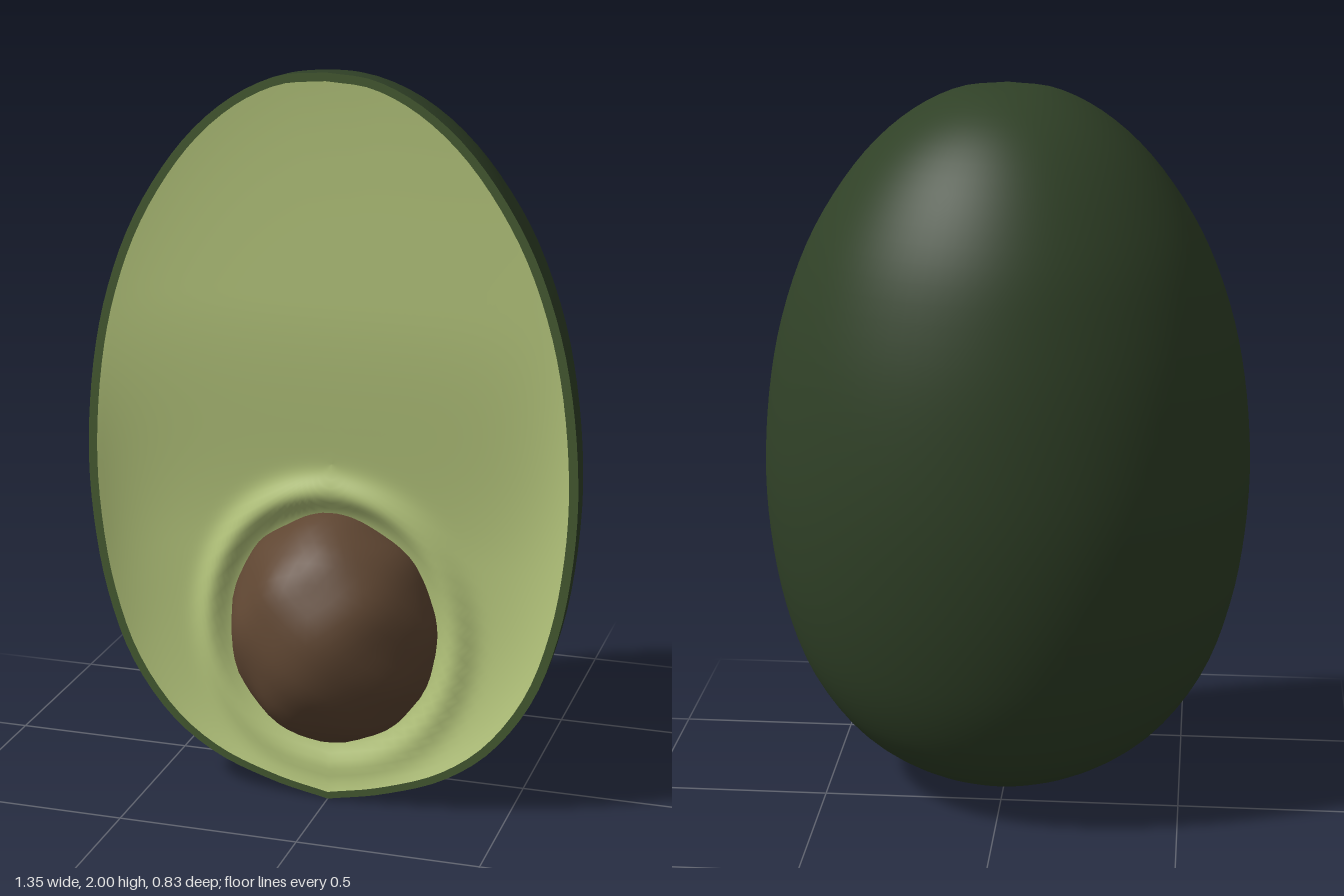
import * as THREE from 'three';
import { mergeVertices } from 'three/addons/utils/BufferGeometryUtils.js';

const CUT_Z = 0.22; // plane of the cut face
const MID_Y = 0.95;

// Half profile from top to bottom: half width, height, depth behind the cut
const profile = new THREE.CatmullRomCurve3([
  [0, 2, 0], [0.13, 1.985, 0.14], [0.27, 1.915, 0.29], [0.4, 1.795, 0.41],
  [0.53, 1.6, 0.52], [0.61, 1.4, 0.58], [0.655, 1.2, 0.615], [0.677, 0.95, 0.632],
  [0.668, 0.75, 0.622], [0.635, 0.55, 0.59], [0.57, 0.36, 0.535], [0.46, 0.2, 0.45],
  [0.33, 0.1, 0.34], [0.16, 0.035, 0.19], [0, 0, 0],
].map((p) => new THREE.Vector3(...p))).getSpacedPoints(56);

// Closed outline of the cut, counter-clockwise seen from the front
const outline = [
  ...profile.map((p) => new THREE.Vector2(-p.x, p.y)),
  ...profile.slice(1, -1).reverse().map((p) => new THREE.Vector2(p.x, p.y)),
];
const inner = outline.map((p) => new THREE.Vector2(p.x * 0.964, MID_Y + (p.y - MID_Y) * 0.979));

function fromGrid(positions, indices) {
  const g = new THREE.BufferGeometry();
  g.setAttribute('position', new THREE.Float32BufferAttribute(positions, 3));
  g.setIndex(indices);
  g.computeVertexNormals();
  return g;
}

// Rounded back: half-elliptical cross-sections stacked down the profile
function skinGeometry() {
  const n = 48, pos = [], idx = [];
  profile.forEach((p, j) => {
    for (let i = 0; i <= n; i++) {
      const a = (Math.PI * i) / n;
      pos.push(p.x * Math.cos(a), p.y, CUT_Z - p.z * Math.sin(a));
      if (j < profile.length - 1 && i < n) {
        const q = j * (n + 1) + i, r = q + n + 1;
        if (j > 0) idx.push(q, r, q + 1);
        if (j < profile.length - 2) idx.push(q + 1, r, r + 1);
        else if (j === 0) idx.push(q + 1, r, r + 1);
      }
    }
  });
  return fromGrid(pos, idx);
}

// Cut flesh: shallow bowl low down, with a soft collar around the pit
function fleshZ(x, y, r) {
  const low = 1 - THREE.MathUtils.smoothstep(y, 0.7, 1.4);
  const bowl = (0.012 + 0.05 * low) * (1 - r ** 6);
  const e = Math.hypot(x / 0.295, (y - 0.48) / 0.33);
  const collar = 0.03 * Math.exp(-(((e - 1.18) / 0.13) ** 2)) * (1 - r ** 8);
  return CUT_Z - bowl + collar;
}

function fleshGeometry() {
  const rings = 44, n = inner.length, pos = [], idx = [];
  for (let k = 0; k <= rings; k++) {
    const r = k / rings;
    inner.forEach((p, i) => {
      const x = p.x * r, y = MID_Y + (p.y - MID_Y) * r;
      pos.push(x, y, fleshZ(x, y, r));
      if (k < rings) {
        const a = k * n + i, b = k * n + ((i + 1) % n);
        idx.push(a, a + n, b + n);
        if (k > 0) idx.push(a, b + n, b);
      }
    });
  }
  return fromGrid(pos, idx);
}

// Lumpy pit
function pitGeometry() {
  let g = new THREE.IcosahedronGeometry(1, 9);
  g.deleteAttribute('uv');
  g.deleteAttribute('normal');
  g = mergeVertices(g, 1e-4);
  const p = g.attributes.position, v = new THREE.Vector3();
  for (let i = 0; i < p.count; i++) {
    v.fromBufferAttribute(p, i);
    const bump = Math.sin(7 * v.x + 2 * v.y) * Math.sin(8 * v.y + 1) + Math.sin(9 * v.z + 5 * v.x) * Math.cos(6 * v.y);
    v.multiplyScalar(1 + 0.014 * bump);
    p.setXYZ(i, v.x * 0.295, v.y * 0.33, v.z * 0.292);
  }
  g.computeVertexNormals();
  return g;
}

export function createModel() {
  const material = (name, color) => {
    const m = new THREE.MeshStandardMaterial({ color });
    m.name = name;
    return m;
  };
  const group = new THREE.Group();
  group.name = 'avocadoHalf';
  const add = (name, geometry, mat) => {
    const mesh = new THREE.Mesh(geometry, mat);
    mesh.name = name;
    group.add(mesh);
    return mesh;
  };

  add('skin', skinGeometry(), material('dark green skin', 0x304127));

  // Thin band of cut skin around the flesh
  const band = new THREE.Shape(outline);
  band.holes.push(new THREE.Path(inner));
  add('rim', new THREE.ShapeGeometry(band), material('green rim', 0x465b32)).position.z = CUT_Z;

  add('flesh', fleshGeometry(), material('pale green flesh', 0xb5c67c));
  add('pit', pitGeometry(), material('brown pit', 0x5f4632)).position.set(0, 0.48, 0.12);
  return group;
}
